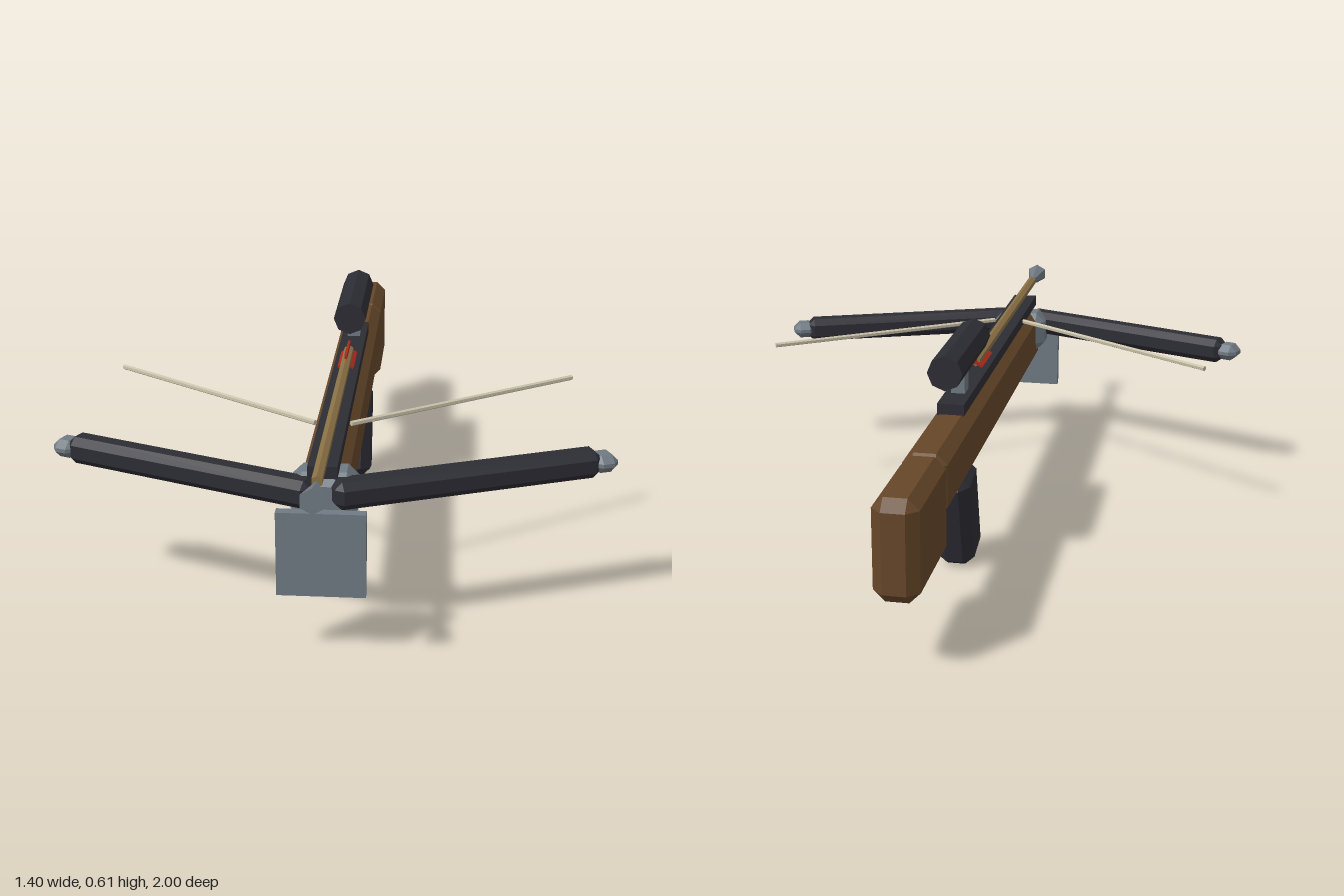
import * as THREE from 'three';
import { ConvexGeometry } from 'three/addons/geometries/ConvexGeometry.js';

function material(name, color) {
  const m = new THREE.MeshStandardMaterial({ color, flatShading: true });
  m.name = name;
  return m;
}

// Box with all edges and corners cut by c
function chamferBox(w, h, d, c) {
  const pts = [];
  const [x, y, z] = [w / 2, h / 2, d / 2];
  for (const i of [-1, 1]) for (const j of [-1, 1]) for (const k of [-1, 1]) {
    pts.push(
      new THREE.Vector3(i * x, j * (y - c), k * (z - c)),
      new THREE.Vector3(i * (x - c), j * y, k * (z - c)),
      new THREE.Vector3(i * (x - c), j * (y - c), k * z));
  }
  return new ConvexGeometry(pts);
}

// Cylinder or cone lying along z, front end first
function rod(rFront, rBack, length, sides) {
  return new THREE.CylinderGeometry(rFront, rBack, length, sides).rotateX(Math.PI / 2);
}

export function createModel() {
  const wood = material('wood', 0x664729);
  const dark = material('dark polymer', 0x2c2c34);
  const steel = material('steel', 0x707a83);
  const shaftWood = material('shaft wood', 0x8a7145);
  const red = material('red fletching', 0xa82a1e);
  const cord = material('cord', 0xc8c0a8);

  const model = new THREE.Group();
  model.name = 'crossbow';
  const add = (name, geometry, mat, x, y, z, parent = model) => {
    const mesh = new THREE.Mesh(geometry, mat);
    mesh.name = name;
    mesh.position.set(x, y, z);
    parent.add(mesh);
    return mesh;
  };

  // Wooden body
  add('stock', chamferBox(0.11, 0.16, 1.43, 0.027), wood, 0, 0.357, 0);
  add('butt', chamferBox(0.11, 0.25, 0.32, 0.027), wood, 0, 0.311, -0.84);
  add('rail', new THREE.BoxGeometry(0.07, 0.03, 1.16), dark, 0, 0.45, 0.18);
  add('grip', chamferBox(0.1, 0.28, 0.14, 0.027), dark, 0, 0.1455, -0.329).rotation.x = -0.26;

  // Front fittings
  add('riser', chamferBox(0.16, 0.12, 0.11, 0.027), steel, 0, 0.373, 0.685);
  add('stirrup', new THREE.BoxGeometry(0.21, 0.21, 0.026), steel, 0, 0.265, 0.8);

  // Scope on its mount
  add('scope', rod(0.045, 0.045, 0.37, 8), dark, 0, 0.565, -0.28);
  add('scopeMount', new THREE.BoxGeometry(0.036, 0.08, 0.05), steel, 0, 0.495, -0.282);

  // Bow limbs, tips and string halves, mirrored
  for (const s of [-1, 1]) {
    const side = s > 0 ? 'left' : 'right';
    const turn = s * 0.385;
    add(side + 'Limb', chamferBox(0.68, 0.07, 0.07, 0.018), dark, s * 0.337, 0.39, 0.617).rotation.y = turn;
    add(side + 'LimbTip', chamferBox(0.065, 0.046, 0.07, 0.018), steel, s * 0.665, 0.39, 0.489).rotation.y = turn;
    const path = new THREE.LineCurve3(
      new THREE.Vector3(s * 0.045, 0.459, 0.457), new THREE.Vector3(s * 0.613, 0.459, 0.058));
    const string = add(side + 'String', new THREE.CylinderGeometry(0.007, 0.007, path.getLength(), 6), cord, 0, 0, 0);
    string.position.copy(path.getPoint(0.5));
    string.quaternion.setFromUnitVectors(new THREE.Vector3(0, 1, 0), path.getTangent(0));
  }

  // Bolt: shaft, flared head and three fins
  const bolt = new THREE.Group();
  bolt.name = 'bolt';
  bolt.position.y = 0.482;
  model.add(bolt);
  add('boltShaft', rod(0.014, 0.014, 0.96, 6), shaftWood, 0, 0, 0.41, bolt);
  add('boltHead', rod(0.031, 0, 0.12, 6), steel, 0, 0, 0.94, bolt);
  for (let i = 0; i < 3; i++) {
    const fin = new THREE.BoxGeometry(0.007, 0.024, 0.135).translate(0, 0.012, 0);
    add('fin' + (i + 1), fin, red, 0, 0, -0.0125, bolt).rotation.z = i * Math.PI * 2 / 3;
  }

  return model;
}
